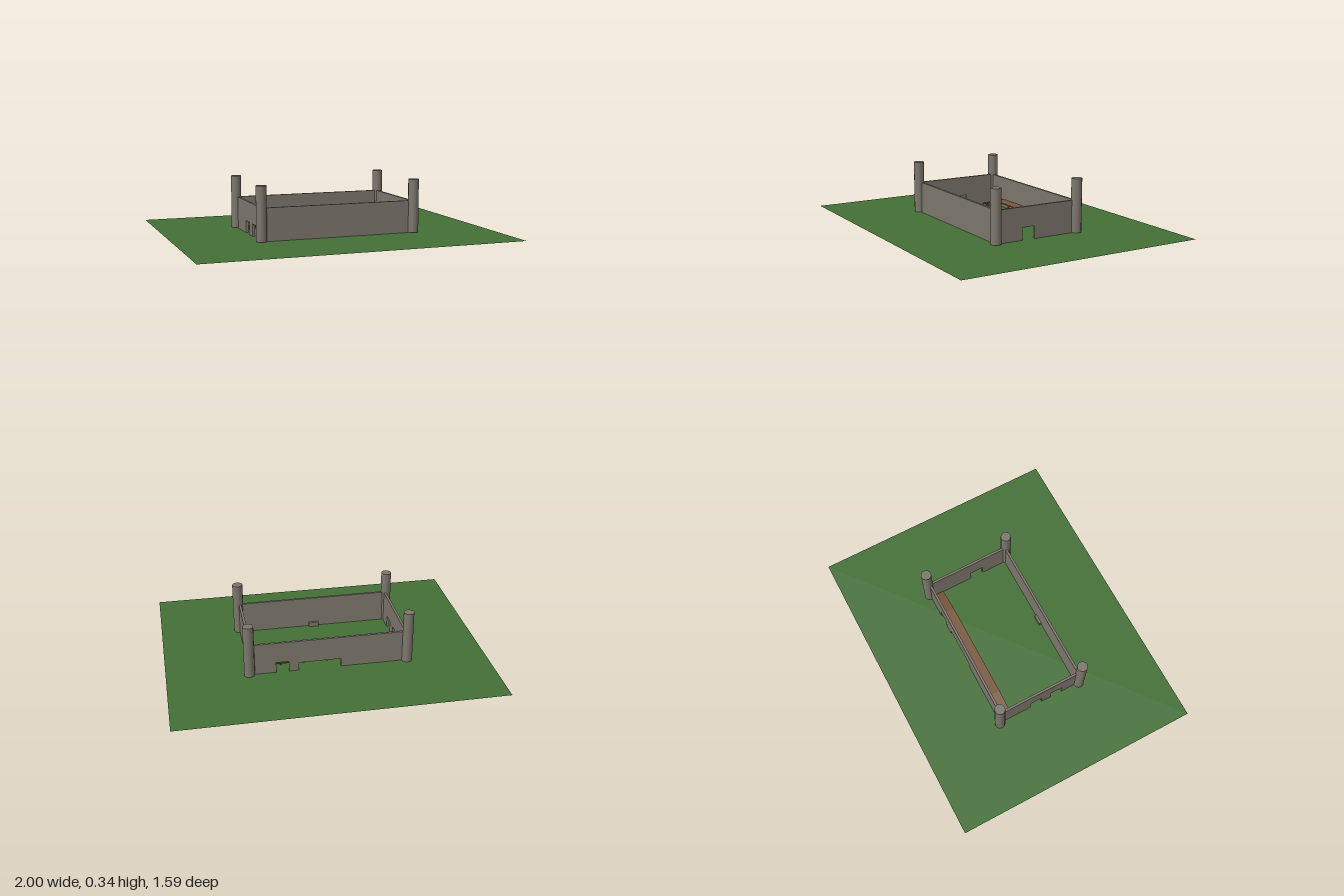
import * as THREE from 'three';

const stone = new THREE.MeshStandardMaterial({ name: 'stone', color: 0x7d776d });
const grass = new THREE.MeshStandardMaterial({ name: 'grass', color: 0x437035, side: THREE.DoubleSide });
const wood = new THREE.MeshStandardMaterial({ name: 'wood', color: 0x7a583e });

const HALF_X = 0.485, HALF_Z = 0.275, THICK = 0.015, WALL_TOP = 0.21;

function add(parent, name, geometry, material, x = 0, y = 0, z = 0) {
  const mesh = new THREE.Mesh(geometry, material);
  mesh.name = name;
  mesh.position.set(x, y, z);
  parent.add(mesh);
  return mesh;
}

// Extrudes an outline, centred on its own thickness
function slab(points, depth) {
  const shape = new THREE.Shape(points.map(([x, y]) => new THREE.Vector2(x, y)));
  return new THREE.ExtrudeGeometry(shape, { depth, bevelEnabled: false }).translate(0, 0, -depth / 2);
}

// Wall with doorways cut up from its foot; gates are [start, end, height] from low to high
function wallGeometry(half, gates) {
  const points = [[-half, 0]];
  for (const [a, b, h] of gates) points.push([a, 0], [a, h], [b, h], [b, 0]);
  points.push([half, 0], [half, WALL_TOP], [-half, WALL_TOP]);
  return slab(points, THICK);
}

export function createModel() {
  const model = new THREE.Group();
  model.name = 'walledCourtyard';

  // Lawn
  add(model, 'lawn', new THREE.PlaneGeometry(2, 1.59).rotateX(-Math.PI / 2), grass, 0, 0.007, 0);

  // Curtain walls
  add(model, 'frontWall', wallGeometry(0.495, []), stone, 0, 0, HALF_Z);
  add(model, 'backWall', wallGeometry(0.495, [[-0.075, 0.19, 0.06], [0.25, 0.33, 0.075]]), stone, 0, 0, -HALF_Z);
  const leftWall = add(model, 'leftWall', wallGeometry(0.28, [[0.015, 0.1, 0.085]]), stone, HALF_X, 0, 0);
  const rightWall = add(model, 'rightWall',
    wallGeometry(0.28, [[-0.065, 0.015, 0.085], [0.08, 0.16, 0.085]]), stone, -HALF_X, 0, 0);
  leftWall.rotation.y = rightWall.rotation.y = -Math.PI / 2;

  // Corner towers
  const tower = new THREE.CylinderGeometry(0.033, 0.033, 0.335, 12);
  for (const sx of [-1, 1]) for (const sz of [-1, 1]) {
    add(model, 'cornerTower', tower, stone, sx * 0.495, 0.1775, sz * 0.285);
  }

  // Low step against the inside of the front wall
  add(model, 'step', new THREE.BoxGeometry(0.065, 0.03, 0.016), stone, 0, 0.02, 0.26);

  // Raised wooden walkway with a ramp at each end
  const walkway = new THREE.Group();
  walkway.name = 'walkway';
  model.add(walkway);
  const flat = 0.32, end = 0.478, deckTop = 0.062, low = 0.014, t = 0.007;
  add(walkway, 'deck', slab([
    [-end, low - t], [-flat, deckTop - t], [flat, deckTop - t], [end, low - t],
    [end, low], [flat, deckTop], [-flat, deckTop], [-end, low],
  ], 0.073), wood, 0, 0, -0.231);

  // Posts under the deck and the ramps
  function post(x, top) {
    const h = top - 0.005;
    add(walkway, 'post', new THREE.BoxGeometry(0.009, h, 0.009), wood, x, 0.005 + h / 2, -0.198);
  }
  for (let i = -2; i <= 2; i++) post(i * 0.145, deckTop - t);
  for (const side of [-1, 1]) {
    for (let i = 0; i < 4; i++) {
      const f = 0.1 + i * 0.2;
      post(side * (flat + f * (end - flat)), deckTop - t - f * (deckTop - low));
    }
  }
  return model;
}
